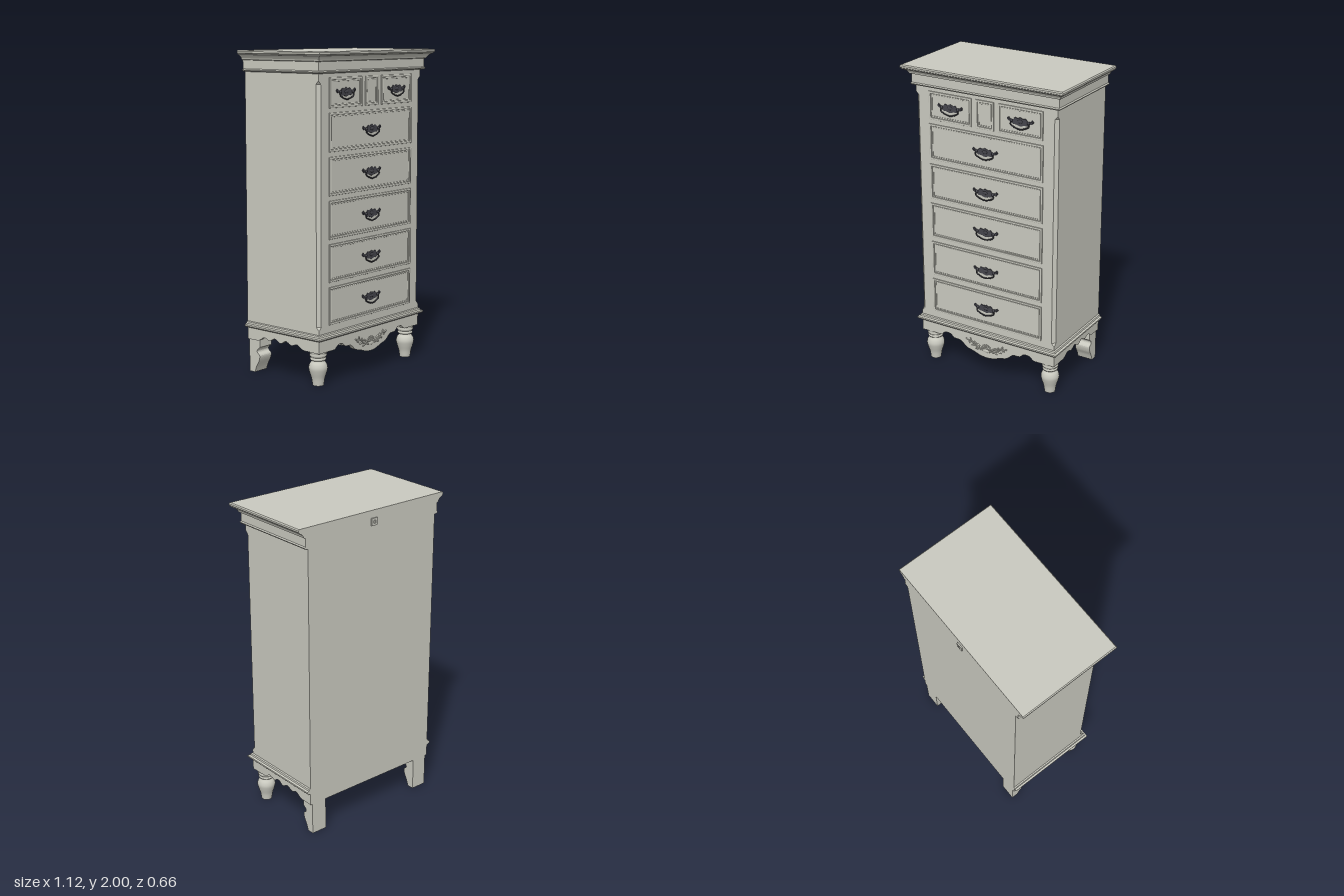
import * as THREE from 'three';

const W = 0.492, FRONT = 0.265, BACK = -0.325;

// Solid from stacked outlines; levels are [y, overhang, front corner chamfer]
function stack(levels) {
  const pos = [];
  const rings = levels.map(([y, o, c = 0]) => {
    const x = W + o, z = FRONT + o;
    return [[-x, BACK], [-x, z - c], [-x + c, z], [x - c, z], [x, z - c], [x, BACK]].map(p => [p[0], y, p[1]]);
  });
  const tri = (a, b, c) => pos.push(...a, ...b, ...c);
  for (let k = 0; k < rings.length - 1; k++) {
    const lo = rings[k], hi = rings[k + 1];
    for (let i = 0; i < 6; i++) {
      const j = (i + 1) % 6;
      tri(lo[i], lo[j], hi[j]);
      tri(lo[i], hi[j], hi[i]);
    }
  }
  const top = rings[rings.length - 1], bot = rings[0];
  for (let i = 1; i < 5; i++) {
    tri(top[0], top[i], top[i + 1]);
    tri(bot[0], bot[i + 1], bot[i]);
  }
  const g = new THREE.BufferGeometry();
  g.setAttribute('position', new THREE.Float32BufferAttribute(pos, 3));
  g.computeVertexNormals();
  return g;
}

const v2 = pts => pts.map(p => new THREE.Vector2(...p));
const v3 = pts => pts.map(p => new THREE.Vector3(...p));
const mirrored = pts => [...pts, ...pts.slice(0, -1).reverse().map(([x, y]) => [-x, y])];
const extrude = (shape, depth, bevel = 0) => new THREE.ExtrudeGeometry(shape, {
  depth, bevelEnabled: bevel > 0, bevelThickness: bevel, bevelSize: bevel, bevelOffset: -bevel, bevelSegments: 2, curveSegments: 16,
});

function frameShape(w, h, t) {
  const rect = (a, b) => v2([[-a, -b], [a, -b], [a, b], [-a, b]]);
  const s = new THREE.Shape(rect(w / 2, h / 2));
  s.holes.push(new THREE.Path(rect(w / 2 - t, h / 2 - t).reverse()));
  return s;
}

export function createModel() {
  const root = new THREE.Group();
  const paint = new THREE.MeshStandardMaterial({ color: 0xc9c9bf });
  paint.name = 'greyPaint';
  const iron = new THREE.MeshStandardMaterial({ color: 0x45454c });
  iron.name = 'darkIron';

  const add = (parent, name, geo, x = 0, y = 0, z = 0, mat = paint) => {
    const m = new THREE.Mesh(geo, mat);
    m.name = name;
    m.position.set(x, y, z);
    parent.add(m);
    return m;
  };

  // Carcass with chamfered front corners that stop short of both ends
  add(root, 'carcass', stack([[0.285, 0], [0.35, 0], [0.37, 0, 0.02], [1.81, 0, 0.02], [1.83, 0], [1.89, 0]]));
  add(root, 'waistMoulding', stack([[0.285, 0], [0.29, 0.018], [0.297, 0.024], [0.306, 0.024], [0.311, 0.012],
    [0.321, 0.009], [0.325, 0]]));
  add(root, 'crown', stack([[1.87, 0], [1.874, 0.02], [1.882, 0.025], [1.888, 0.018], [1.94, 0.018], [1.943, 0.028],
    [1.952, 0.031], [1.962, 0.038], [1.97, 0.05], [1.974, 0.06], [1.979, 0.061], [1.983, 0.067], [1.993, 0.067], [2, 0.061]]));

  // Drawer fronts: raised outer frame and a finer bead inside it
  function panel(name, x, y, w, h) {
    const g = new THREE.Group();
    g.name = name;
    g.position.set(x, y, FRONT);
    add(g, 'outerFrame', extrude(frameShape(w, h, 0.014), 0.003, 0.003), 0, 0, 0);
    add(g, 'innerBead', extrude(frameShape(w - 0.032, h - 0.032, 0.008), 0.001, 0.002), 0, 0, 0);
    root.add(g);
  }

  // Bail handle
  const plateHalf = [[0, 0.033], [0.018, 0.026], [0.036, 0.029], [0.05, 0.016], [0.068, 0.017], [0.08, 0.027],
    [0.09, 0.017], [0.08, 0.003], [0.062, 0], [0.05, -0.012], [0.026, -0.014], [0, -0.021]];
  const outline = [...plateHalf, ...plateHalf.slice(1, -1).reverse().map(([x, y]) => [-x, y])].reverse();
  const plateShape = new THREE.Shape(new THREE.CatmullRomCurve3(v3(outline.map(p => [...p, 0])), true)
    .getPoints(70).slice(0, -1).map(p => new THREE.Vector2(p.x, p.y)));
  const plateGeo = extrude(plateShape, 0.003, 0.002);
  const bailGeo = new THREE.TubeGeometry(new THREE.CatmullRomCurve3(v3([[-0.058, 0.007, 0.008], [-0.062, -0.012, 0.011],
    [-0.04, -0.027, 0.012], [0, -0.037, 0.012], [0.04, -0.027, 0.012], [0.062, -0.012, 0.011], [0.058, 0.007, 0.008]])), 32, 0.0045, 8);
  const studGeo = new THREE.SphereGeometry(0.009, 12, 8);
  function handle(x, y) {
    const g = new THREE.Group();
    g.name = 'handle';
    g.position.set(x, y, FRONT);
    add(g, 'backplate', plateGeo, 0, 0, 0, iron);
    add(g, 'bail', bailGeo, 0, 0, 0, iron);
    for (const s of [-1, 1]) {
      add(g, 'stud', studGeo, s * 0.058, 0.008, 0.007, iron);
      add(g, 'curl', studGeo, s * 0.08, 0.016, 0.003, iron).scale.setScalar(0.7);
    }
    add(g, 'rosette', studGeo, 0, 0.008, 0.004, iron).scale.set(2, 1.2, 0.6);
    root.add(g);
  }
  for (let i = 0; i < 5; i++) {
    const y = 0.485 + i * 0.26;
    panel('drawer', 0, y, 0.8, 0.23);
    handle(0, y - 0.006);
  }
  for (const s of [-1, 1]) {
    panel('smallDrawer', s * 0.245, 1.757, 0.305, 0.178);
    handle(s * 0.245, 1.752);
  }
  panel('centrePanel', 0, 1.757, 0.126, 0.178);

  // Scalloped front apron
  const wave = new THREE.SplineCurve(v2(mirrored([[0.375, 0.21], [0.345, 0.212], [0.315, 0.234], [0.275, 0.234],
    [0.245, 0.212], [0.195, 0.207], [0.15, 0.172], [0.1, 0.158], [0.05, 0.141], [0, 0.135]])));
  add(root, 'frontApron', extrude(new THREE.Shape([...v2([[-W, 0.21], [-W, 0.29], [W, 0.29], [W, 0.21]]),
    ...wave.getPoints(72)]), 0.03), 0, 0, FRONT - 0.03);
  add(root, 'backApron', new THREE.BoxGeometry(2 * W, 0.08, 0.025), 0, 0.25, BACK + 0.0125);

  // Scalloped side aprons, outline in (-z, y), plus a straight rail inside
  const sidePts = [];
  for (let i = 0; i <= 60; i++) {
    const t = i / 60;
    sidePts.push([0.235 - t * 0.375, 0.212 + 0.022 * Math.min(1, 8 * t, 8 * (1 - t)) + 0.011 * Math.sin(t * Math.PI * 8 - 1.5) * Math.sin(t * Math.PI)]);
  }
  const sideGeo = extrude(new THREE.Shape(v2([[-FRONT, 0.21], [-FRONT, 0.29], [-BACK, 0.29], [-BACK, 0.21], ...sidePts])), 0.025);
  sideGeo.rotateY(Math.PI / 2);

  // Turned front leg and shaped back leg
  const turned = new THREE.LatheGeometry(new THREE.SplineCurve(v2([[0.034, 0], [0.036, 0.015], [0.041, 0.045], [0.052, 0.08],
    [0.058, 0.108], [0.052, 0.132], [0.04, 0.148], [0.038, 0.155]])).getPoints(28), 28);
  const foot = new THREE.CircleGeometry(0.034, 28).rotateX(Math.PI / 2);
  const collar = new THREE.LatheGeometry(v2([[0.036, 0.153], [0.046, 0.157], [0.05, 0.164], [0.047, 0.17], [0.043, 0.173],
    [0.046, 0.177], [0.052, 0.183], [0.052, 0.192], [0.048, 0.196], [0.053, 0.2], [0.053, 0.212]]), 28);
  const legCurve = new THREE.SplineCurve(v2([[0.235, 0.165], [0.258, 0.145], [0.258, 0.128], [0.238, 0.11], [0.245, 0.075], [0.265, 0.04], [0.28, 0]]));
  const backLeg = extrude(new THREE.Shape([...v2([[-BACK, 0], [-BACK, 0.285], [0.235, 0.285]]), ...legCurve.getPoints(24)]), 0.105);
  backLeg.rotateY(Math.PI / 2);
  for (const s of [-1, 1]) {
    add(root, 'sideApron', sideGeo, s > 0 ? W - 0.025 : -W);
    add(root, 'sideRail', new THREE.BoxGeometry(0.02, 0.045, 0.48), s * (W - 0.03), 0.27, -0.03);
    add(root, 'cornerBlock', new THREE.BoxGeometry(0.112, 0.08, 0.115), s * (W - 0.057), 0.251, FRONT - 0.059);
    const leg = new THREE.Group();
    leg.name = 'frontLeg';
    leg.position.set(s * 0.433, 0, 0.206);
    add(leg, 'turnedShaft', turned);
    add(leg, 'legCollar', collar);
    add(leg, 'footBottom', foot);
    root.add(leg);
    add(root, 'backLeg', backLeg, s > 0 ? 0.372 : -0.477);
  }

  // Carved spray on the front apron: central shell, scrolls and leaves
  const carving = new THREE.Group();
  carving.name = 'carving';
  carving.position.set(0, 0.205, FRONT);
  root.add(carving);
  const bead = new THREE.SphereGeometry(1, 10, 8);
  const leaf = (x, y, rot, len) => {
    const m = add(carving, 'leaf', bead, x, y, 0.001);
    m.scale.set(len, len * 0.4, 0.006);
    m.rotation.z = rot;
  };
  for (let i = 0; i < 7; i++) {
    const a = Math.PI * (0.08 + 0.14 * i);
    leaf(Math.cos(a) * 0.022, Math.sin(a) * 0.022 - 0.01, a, 0.015);
  }
  leaf(0, -0.02, 0, 0.03);
  for (const s of [-1, 1]) {
    const stem = v3([[0.02, -0.02], [0.05, -0.018], [0.08, -0.004], [0.105, 0.018], [0.128, 0.024], [0.132, 0.01], [0.12, 0.008]]
      .map(([x, y]) => [s * x, y, 0.002]));
    add(carving, 'scroll', new THREE.TubeGeometry(new THREE.CatmullRomCurve3(stem), 36, 0.004, 6));
    for (const [x, y, r, l] of [[0.045, -0.004, 0.9, 0.014], [0.062, 0.008, 0.4, 0.014], [0.085, 0.016, 1.1, 0.013],
      [0.07, -0.022, -0.3, 0.013], [0.1, -0.004, -0.4, 0.013], [0.145, 0.026, 0.5, 0.012], [0.118, 0.034, 1.3, 0.01]]) {
      leaf(s * x, y, s * r, l);
    }
  }

  // Hanging plate on the back
  const hanger = frameShape(0.042, 0.045, 0.013);
  add(root, 'backHanger', extrude(hanger, 0.008), 0, 1.93, BACK - 0.008);
  return root;
}
